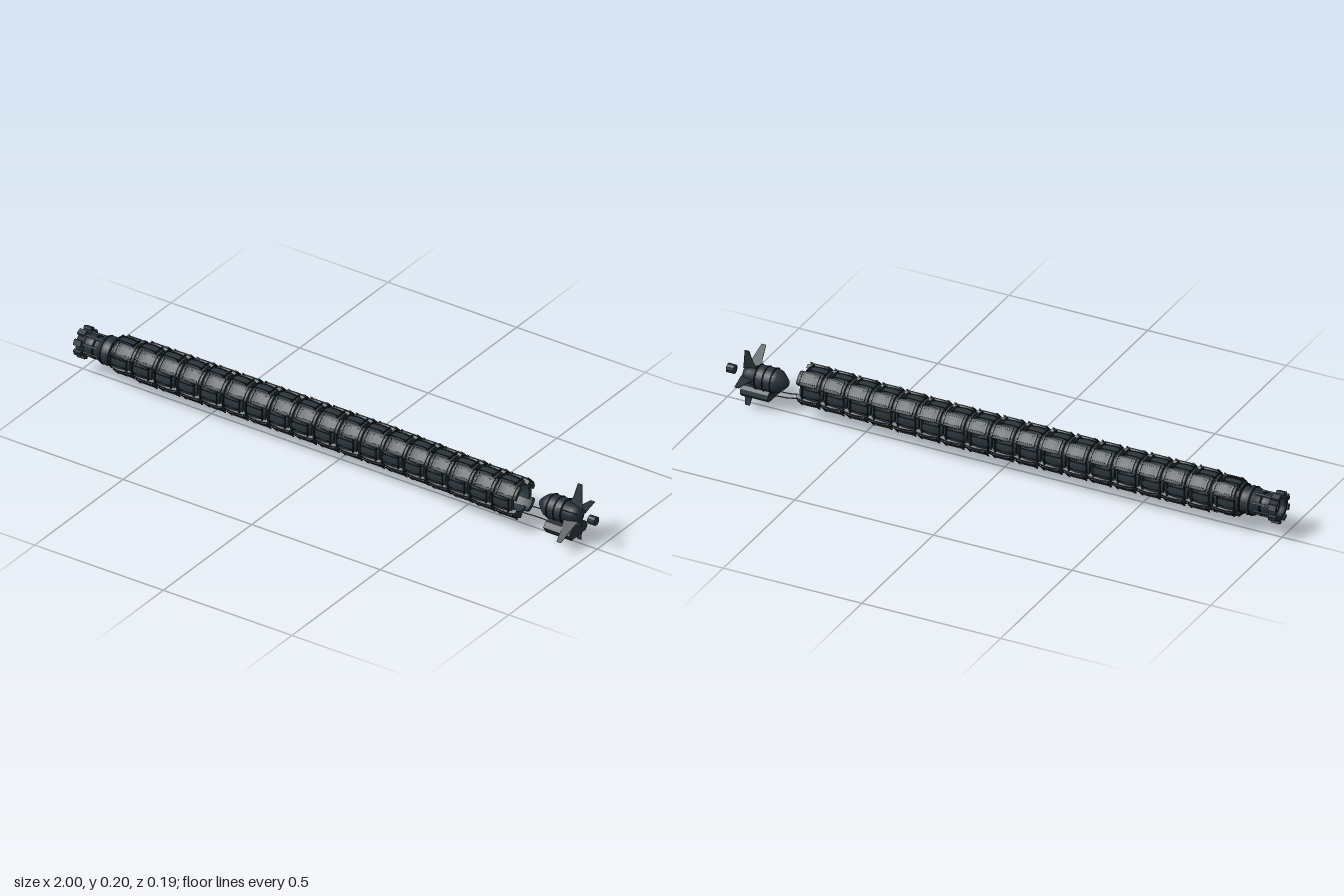
import * as THREE from 'three';

const CY = 0.105;
const shell = new THREE.MeshStandardMaterial({ color: 0x2a353b, flatShading: true });
const dark = new THREE.MeshStandardMaterial({ color: 0x161b1e, flatShading: true });
const metal = new THREE.MeshStandardMaterial({ color: 0x4a5256 });
const hull = new THREE.MeshStandardMaterial({ color: 0x27313a, side: THREE.DoubleSide });

function add(parent, name, geometry, material, x = 0, y = 0, z = 0) {
  const mesh = new THREE.Mesh(geometry, material);
  mesh.name = name;
  mesh.position.set(x, y, z);
  parent.add(mesh);
  return mesh;
}

// Group whose local +y points outward at an angle around the long axis
function spoke(parent, name, angle) {
  const g = new THREE.Group();
  g.name = name;
  g.rotation.x = angle;
  parent.add(g);
  return g;
}

// Solid of revolution around x from [x, radius] points
function turned(points, sides = 24) {
  const pts = points.map(([x, r]) => new THREE.Vector2(r, x));
  return new THREE.LatheGeometry(pts, sides).rotateZ(-Math.PI / 2);
}

// Padded panel: a box swollen in the middle of its length and rolled at its sides
function paddedPanel(length, thick, width) {
  const g = new THREE.BoxGeometry(length, thick, width, 6, 1, 4);
  const p = g.attributes.position;
  for (let i = 0; i < p.count; i++) {
    const u = p.getX(i) / (length / 2), v = p.getZ(i) / (width / 2);
    p.setY(i, p.getY(i) - 0.005 * u * u - 0.005 * v * v);
    p.setZ(i, p.getZ(i) * (1 - 0.08 * u * u));
  }
  g.computeVertexNormals();
  return g;
}

const drift = x => 0.025 * THREE.MathUtils.smoothstep(x, 0.1, 0.8);

function makeBody() {
  const body = new THREE.Group();
  body.name = 'segmentedBody';
  const count = 18, pitch = 0.0885, start = -0.82;
  const panel = paddedPanel(0.083, 0.014, 0.049);
  const strap = new THREE.BoxGeometry(0.005, 0.005, 0.046);
  const rib = new THREE.BoxGeometry(0.07, 0.004, 0.003);
  const hoop = new THREE.TorusGeometry(0.05, 0.003, 5, 16).rotateY(Math.PI / 2);
  for (let i = 0; i < count; i++) {
    const x = start + i * pitch;
    const segment = new THREE.Group();
    segment.name = 'segment';
    segment.position.set(x, CY + 0.002, drift(x));
    segment.scale.setScalar(1);
    const taper = i === 0 ? 0.92 : 1;
    segment.scale.set(1, taper, taper);
    body.add(segment);
    for (let k = 0; k < 8; k++) {
      const s = spoke(segment, 'panelSector', k * Math.PI / 4);
      // Diagonal rows are staggered and stand a little further out
      const diagonal = k % 2 === 1;
      const dx = diagonal ? 0.01 : -0.004, r = diagonal ? 0.061 : 0.056;
      add(s, 'paddedPanel', panel, shell, dx, r, 0);
      for (const e of [-1, 1]) {
        add(s, 'panelStrap', strap, dark, dx + e * 0.031, r + 0.004, 0);
        add(s, 'sideRib', rib, dark, dx, r + 0.004, e * 0.014);
      }
    }
    add(segment, 'jointHoop', hoop, dark, -pitch / 2, 0, 0);
  }
  // Cables running in the grooves between the panel rows
  for (let k = 0; k < 8; k++) {
    const a = (k + 0.5) * Math.PI / 4, pts = [];
    for (let i = 0; i <= count * 2; i++) {
      const x = -0.86 + i * pitch / 2, r = i % 2 ? 0.062 : 0.056;
      pts.push(new THREE.Vector3(x, CY + r * Math.cos(a), drift(x) + r * Math.sin(a)));
    }
    add(body, 'grooveCable', new THREE.TubeGeometry(new THREE.CatmullRomCurve3(pts), 108, 0.0025, 5), dark);
  }
  return body;
}

function makeHead() {
  const head = new THREE.Group();
  head.name = 'headCoupling';
  head.position.set(0, CY, 0.004);
  add(head, 'neck', turned([[-0.975, 0.026], [-0.975, 0.036], [-0.945, 0.039], [-0.94, 0.034],
    [-0.915, 0.036], [-0.91, 0.046], [-0.885, 0.049], [-0.88, 0.042], [-0.85, 0.046], [-0.84, 0.03]]), hull);
  for (const [x, r] of [[-0.935, 0.038], [-0.9, 0.047], [-0.865, 0.048]])
    add(head, 'neckRing', new THREE.TorusGeometry(r, 0.003, 6, 24).rotateY(Math.PI / 2), dark, x);
  add(head, 'frontRing', turned([[-0.995, 0.032], [-0.995, 0.046], [-0.97, 0.046], [-0.97, 0.032], [-0.995, 0.032]]), hull);
  add(head, 'innerRing', new THREE.TorusGeometry(0.033, 0.003, 6, 24).rotateY(Math.PI / 2), metal, -0.99);
  for (let k = 0; k < 8; k++) {
    const s = spoke(head, 'clampSector', (k + 0.5) * Math.PI / 4);
    add(s, 'clampBlock', new THREE.BoxGeometry(0.028, 0.01, 0.02), shell, -0.986, 0.048, 0);
    add(s, 'clampArm', new THREE.BoxGeometry(0.065, 0.005, 0.006), metal, -0.945, 0.04, 0);
  }
  return head;
}

function makeTail() {
  const tail = new THREE.Group();
  tail.name = 'tailUnit';
  tail.position.set(0, 0.103, 0);
  add(tail, 'tailHull', turned([[0.78, 0], [0.782, 0.012], [0.795, 0.025], [0.81, 0.037], [0.825, 0.041],
    [0.885, 0.041], [0.89, 0.034], [0.915, 0.03], [0.935, 0.024], [0.94, 0]]), hull);
  for (const x of [0.828, 0.856, 0.884])
    add(tail, 'hullBand', new THREE.TorusGeometry(0.041, 0.0028, 6, 28).rotateY(Math.PI / 2), dark, x);

  // Radial fins, thin and tapering to the tip
  const fin = new THREE.Shape();
  fin.moveTo(0.885, 0.022);
  fin.lineTo(0.94, 0.022);
  fin.lineTo(0.934, 0.05);
  fin.lineTo(0.925, 0.1);
  fin.lineTo(0.909, 0.1);
  fin.lineTo(0.9, 0.055);
  const finGeo = new THREE.ExtrudeGeometry(fin, { depth: 0.002, bevelEnabled: false }).translate(0, 0, -0.001);
  for (const [deg, len] of [[-14, 1.03], [56, 1.13], [121, 1.13], [191, 1.05], [270, 0.97]]) {
    const s = spoke(tail, 'finSector', THREE.MathUtils.degToRad(deg));
    add(s, 'fin', finGeo, shell).scale.y = len;
  }

  // Keel pod with a sloping-sided section
  const pod = new THREE.Shape();
  for (const [z, y] of [[-0.036, -0.04], [-0.04, -0.055], [-0.03, -0.067], [0.05, -0.07], [0.066, -0.046], [0.05, -0.03], [-0.025, -0.03]])
    pod.currentPoint.lengthSq() || pod.curves.length ? pod.lineTo(-z, y) : pod.moveTo(-z, y);
  const podGeo = new THREE.ExtrudeGeometry(pod, { depth: 0.1, bevelEnabled: false }).rotateY(Math.PI / 2);
  add(tail, 'keelPod', podGeo, shell, 0.835);
  add(tail, 'podHandle', new THREE.TorusGeometry(0.02, 0.003, 6, 14, Math.PI).rotateZ(Math.PI).scale(1, 0.5, 1).rotateY(Math.PI / 2), dark, 0.88, -0.067, 0.003);

  // Small end block behind the fins
  add(tail, 'endBlock', new THREE.CylinderGeometry(0.016, 0.016, 0.026, 10).rotateZ(Math.PI / 2), shell, 0.987, 0.002, 0.004);

  // Slack lines linking the tail to the body
  for (const [y, z] of [[-0.046, 0.02], [-0.04, -0.02]]) {
    const line = new THREE.CatmullRomCurve3([new THREE.Vector3(0.73, y + 0.004, z + 0.01),
      new THREE.Vector3(0.78, y, z), new THREE.Vector3(0.84, y - 0.002, z)]);
    add(tail, 'linkLine', new THREE.TubeGeometry(line, 12, 0.002, 5), dark);
  }
  return tail;
}

export function createModel() {
  const model = new THREE.Group();
  model.name = 'segmentedCraft';
  model.add(makeBody(), makeHead(), makeTail());
  return model;
}
